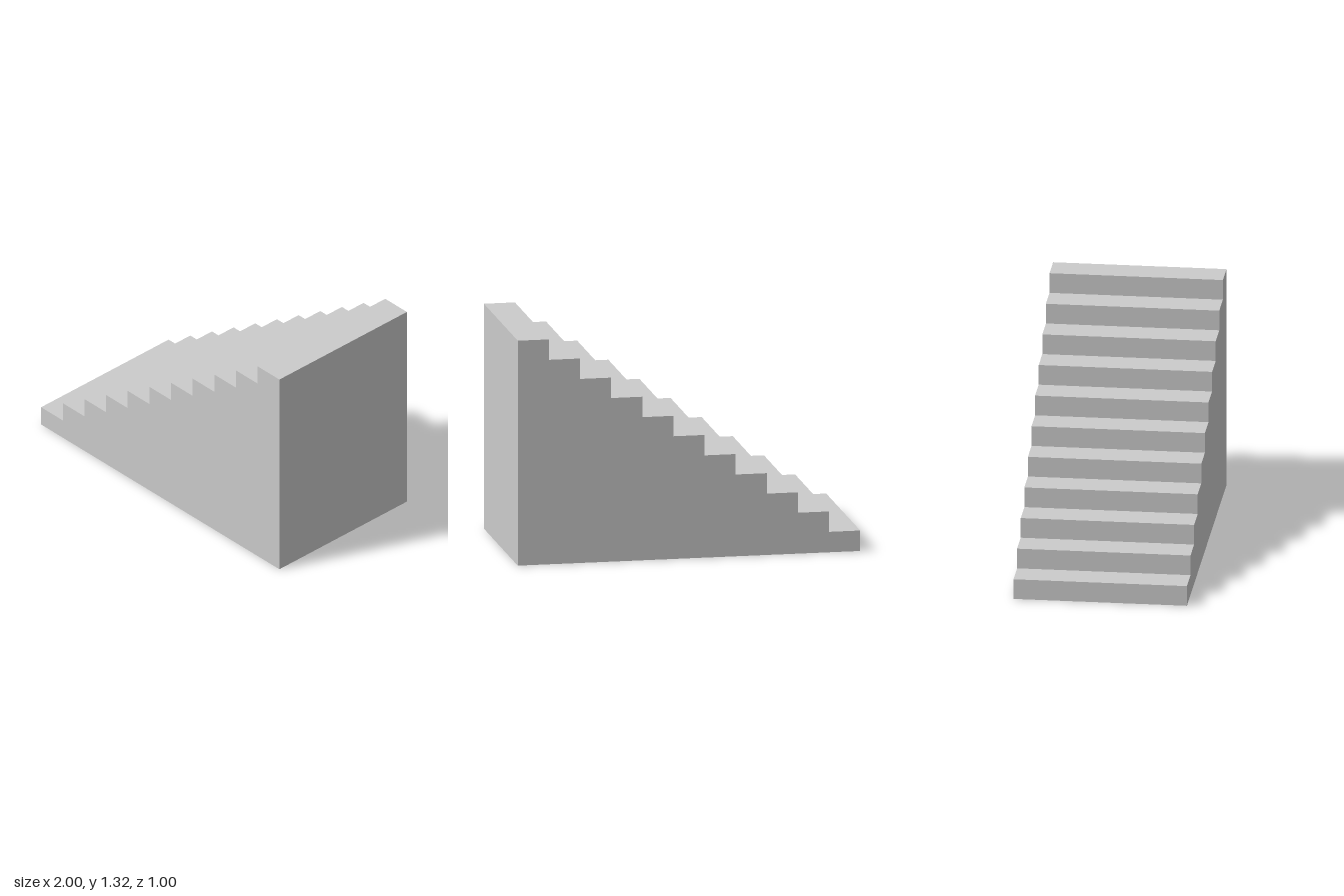
import * as THREE from 'three';

const STEPS = 11;
const LENGTH = 2;
const RISE = 0.12;
const WIDTH = 1;

export function createModel() {
  const group = new THREE.Group();
  group.name = 'staircase';

  // Stepped side profile, climbing from -x to +x
  const run = LENGTH / STEPS;
  const profile = new THREE.Shape();
  profile.moveTo(-LENGTH / 2, 0);
  profile.lineTo(LENGTH / 2, 0);
  for (let i = STEPS; i > 0; i--) {
    profile.lineTo(-LENGTH / 2 + i * run, i * RISE);
    profile.lineTo(-LENGTH / 2 + (i - 1) * run, i * RISE);
  }
  profile.closePath();

  // Solid flight of steps across the full width
  const geometry = new THREE.ExtrudeGeometry(profile, { depth: WIDTH, bevelEnabled: false });
  geometry.translate(0, 0, -WIDTH / 2);

  const material = new THREE.MeshStandardMaterial({ color: 0xcccccc, flatShading: true });
  const stairs = new THREE.Mesh(geometry, material);
  stairs.name = 'stairFlight';
  group.add(stairs);
  return group;
}
